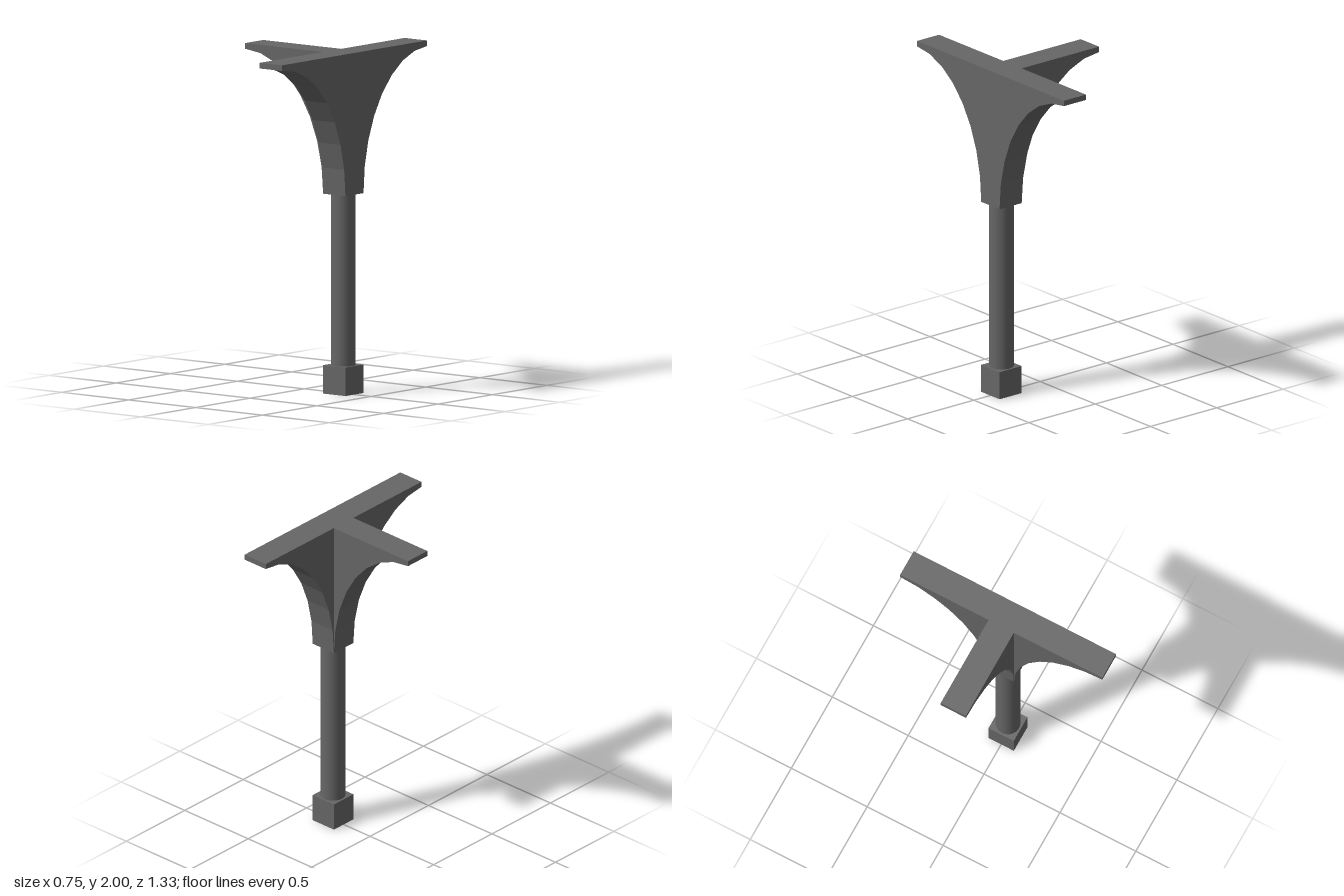
import * as THREE from 'three';

const HALF = 0.0833;      // half width of the square post blocks
const REACH = 0.5833;     // how far each bracket arm projects
const SPRING = 1.17;      // height where the arches start
const CROWN = 1.967;      // underside of the arm tips
const TOP = 2;
const POST_X = 0.2917;

// Faceted quarter-ellipse arch, from the post out to the arm tip
function archPoints(startX, segments = 8) {
  const points = [];
  for (let i = 0; i <= segments; i++) {
    const a = (i / segments) * Math.PI / 2;
    points.push(new THREE.Vector2(
      startX + REACH * (1 - Math.cos(a)),
      SPRING + (CROWN - SPRING) * Math.sin(a)
    ));
  }
  return points;
}

// Extrude an outline to the post width, centred on its plane
function slab(points) {
  const geometry = new THREE.ExtrudeGeometry(new THREE.Shape(points), {
    depth: HALF * 2, bevelEnabled: false,
  });
  return geometry.translate(0, 0, -HALF);
}

export function createModel() {
  const model = new THREE.Group();
  model.name = 'bracketedColumn';
  const stone = new THREE.MeshStandardMaterial({ color: 0x666666 });
  stone.name = 'grey stone';

  const post = new THREE.Group();
  post.name = 'post';
  post.position.x = POST_X;
  model.add(post);

  const add = (name, geometry) => {
    const mesh = new THREE.Mesh(geometry, stone);
    mesh.name = name;
    post.add(mesh);
    return mesh;
  };

  // Square foot and round shaft
  add('base', new THREE.BoxGeometry(HALF * 2, HALF * 2, HALF * 2)).position.y = HALF;
  const shaftHeight = SPRING - HALF * 2;
  add('shaft', new THREE.CylinderGeometry(0.072, 0.072, shaftHeight, 32))
    .position.y = HALF * 2 + shaftHeight / 2;

  // Double bracket running front to back, including the square capital
  const right = archPoints(HALF);
  const left = right.map((p) => new THREE.Vector2(-p.x, p.y)).reverse();
  const span = [
    ...right,
    new THREE.Vector2(HALF + REACH, TOP),
    new THREE.Vector2(-HALF - REACH, TOP),
    ...left,
  ];
  add('doubleBracket', slab(span)).rotation.y = -Math.PI / 2;

  // Single bracket reaching sideways
  const arm = [
    ...archPoints(HALF),
    new THREE.Vector2(HALF + REACH, TOP),
    new THREE.Vector2(HALF, TOP),
  ];
  add('sideBracket', slab(arm)).rotation.y = Math.PI;

  return model;
}
